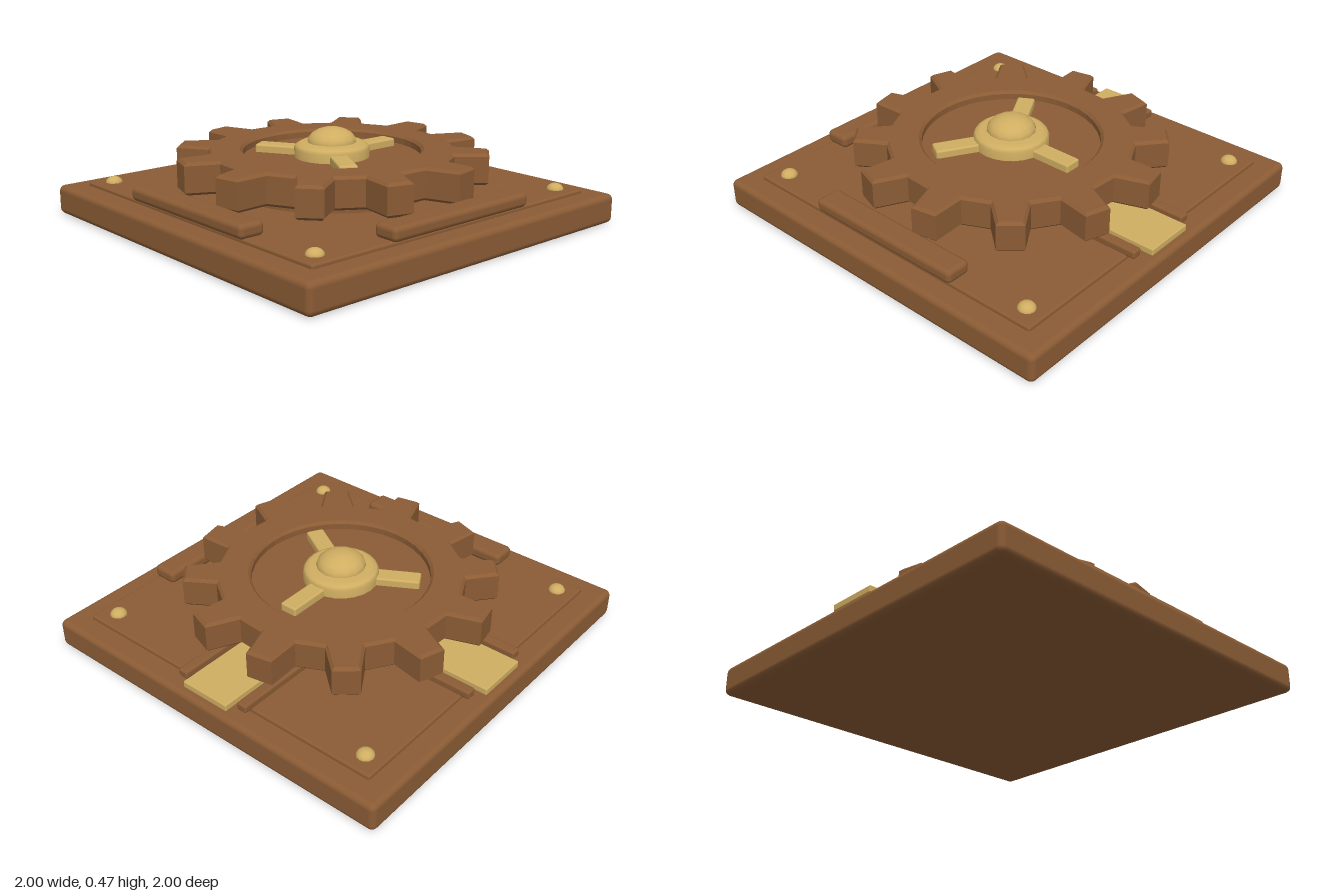
import * as THREE from 'three';
import { RoundedBoxGeometry } from 'three/addons/geometries/RoundedBoxGeometry.js';

export function createModel() {
  const model = new THREE.Group();
  const brown = new THREE.MeshStandardMaterial({ color: 0x8b5c35 });
  brown.name = 'brown';
  const gold = new THREE.MeshStandardMaterial({ color: 0xd0ae62 });
  gold.name = 'gold';

  const add = (name, geometry, material, x = 0, y = 0, z = 0, parent = model) => {
    const mesh = new THREE.Mesh(geometry, material);
    mesh.name = name;
    mesh.position.set(x, y, z);
    parent.add(mesh);
    return mesh;
  };
  // Rounded block given by its size, centre and bottom height
  const block = (name, w, h, d, r, material, x, bottom, z, parent) =>
    add(name, new RoundedBoxGeometry(w, h, d, 2, r), material, x, bottom + h / 2, z, parent);
  const lathe = (points, segments) =>
    new THREE.LatheGeometry(points.map(([r, y]) => new THREE.Vector2(r, y)), segments);

  // Base slab and raised panel
  block('baseSlab', 2, 0.15, 2, 0.03, brown, 0, 0, 0);
  block('raisedPanel', 1.77, 0.05, 1.77, 0.012, brown, 0, 0.12, 0);

  // Corner rivets
  for (const sx of [-1, 1]) for (const sz of [-1, 1]) {
    const rivet = add('rivet', new THREE.SphereGeometry(0.043, 12, 4, 0, Math.PI * 2, 0, Math.PI / 2),
      gold, sx * 0.79, 0.168, sz * 0.79);
    rivet.scale.y = 0.75;
  }

  // Stop bars on the front and right-hand edges
  block('frontBar', 0.88, 0.07, 0.135, 0.025, brown, 0, 0.165, 0.835);
  block('sideBar', 0.135, 0.07, 0.88, 0.025, brown, -0.838, 0.165, 0);

  // Sliding latches with guide rails, one at the left and one at the back
  for (const angle of [0, Math.PI / 2]) {
    const latch = new THREE.Group();
    latch.name = 'latch';
    latch.rotation.y = angle;
    block('latchBolt', 0.47, 0.036, 0.27, 0.006, gold, 0.735, 0.163, 0, latch);
    for (const s of [-1, 1])
      block('guideRail', 0.42, 0.043, 0.055, 0.012, brown, 0.715, 0.162, s * 0.187, latch);
    model.add(latch);
  }

  // Bearing disc below the gear
  const bearing = lathe([[0, 0.16], [0.52, 0.16], [0.52, 0.185], [0.48, 0.2], [0.45, 0.215], [0, 0.215]], 40);
  add('bearingDisc', bearing.toNonIndexed(), brown).geometry.computeVertexNormals();

  // Twelve-toothed gear ring with bevelled edges
  const outline = [];
  const rad = Math.PI / 180;
  for (let i = 0; i < 12; i++) {
    const a = 11.4 + 30 * i;
    for (const [offset, r] of [[-8.5, 0.62], [-4.8, 0.785], [4.8, 0.785], [8.5, 0.62]])
      outline.push(new THREE.Vector2(r * Math.cos((a + offset) * rad), r * Math.sin((a + offset) * rad)));
  }
  const gearShape = new THREE.Shape(outline);
  gearShape.holes.push(new THREE.Path().absarc(0, 0, 0.447, 0, Math.PI * 2, true));
  const bevel = 0.014;
  const gear = new THREE.ExtrudeGeometry(gearShape, {
    depth: 0.16 - 2 * bevel, bevelEnabled: true, bevelThickness: bevel,
    bevelSize: bevel, bevelOffset: -bevel, bevelSegments: 1, curveSegments: 20,
  });
  gear.rotateX(-Math.PI / 2);
  add('gear', gear, brown, 0, 0.21 + bevel, 0);

  // Recessed gear floor
  add('gearFloor', new THREE.CylinderGeometry(0.455, 0.455, 0.11, 40), brown, 0, 0.27, 0);

  // Three short spokes around the hub
  for (let i = 0; i < 3; i++) {
    const arm = new THREE.Group();
    arm.name = 'spokeArm';
    arm.rotation.y = i * Math.PI * 2 / 3;
    block('spoke', 0.3, 0.055, 0.092, 0.01, gold, 0.248, 0.31, 0, arm);
    model.add(arm);
  }

  // Hub with a sloped shoulder and a domed cap
  add('hub', lathe([[0.19, 0.31], [0.19, 0.368], [0.18, 0.385], [0.155, 0.398], [0, 0.4]], 24), gold);
  const cap = add('hubCap', new THREE.SphereGeometry(0.125, 14, 5, 0, Math.PI * 2, 0, Math.PI / 2),
    gold, 0, 0.395, 0);
  cap.scale.y = 0.62;

  return model;
}
